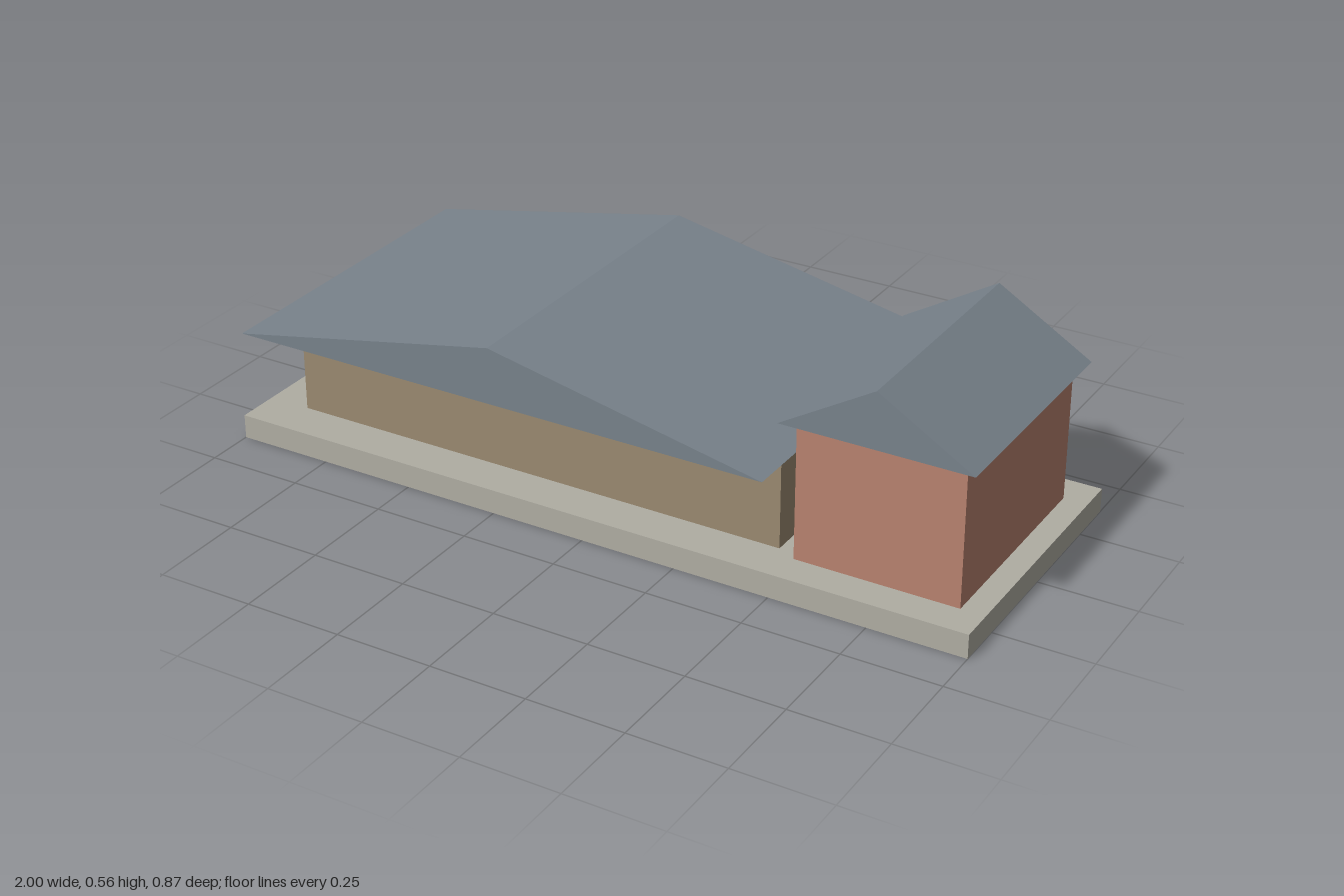
import * as THREE from 'three';

const material = (name, color) => {
  const m = new THREE.MeshStandardMaterial({ color });
  m.name = name;
  return m;
};

export function createModel() {
  const group = new THREE.Group();
  group.name = 'twoBuildings';

  const stone = material('paleStone', 0xb0ada3);
  const tan = material('tanWall', 0x9a8a70);
  const brick = material('brickWall', 0xb8826f);
  const slate = material('slateRoof', 0x78828b);

  const add = (name, geometry, mat) => {
    const mesh = new THREE.Mesh(geometry, mat);
    mesh.name = name;
    group.add(mesh);
    return mesh;
  };

  // Box between two heights, centred on z = 0
  const block = (name, x0, x1, y0, y1, depth, mat) =>
    add(name, new THREE.BoxGeometry(x1 - x0, y1 - y0, depth), mat)
      .position.set((x0 + x1) / 2, (y0 + y1) / 2, 0);

  // Solid gable roof with its ridge running along z
  const gable = (name, x0, x1, y0, y1, depth) => {
    const shape = new THREE.Shape();
    shape.moveTo(x0, y0);
    shape.lineTo(x1, y0);
    shape.lineTo((x0 + x1) / 2, y1);
    shape.closePath();
    const geometry = new THREE.ExtrudeGeometry(shape, { depth, bevelEnabled: false });
    geometry.translate(0, 0, -depth / 2);
    add(name, geometry, slate);
  };

  // Ground slab
  block('baseSlab', -1, 1, 0, 0.0625, 0.75, stone);

  // Long low hall
  block('hallWalls', -0.888, 0.468, 0.0625, 0.336, 0.525, tan);
  gable('hallRoof', -0.935, 0.513, 0.335, 0.48, 0.874);

  // Taller narrow annex
  block('annexWalls', 0.518, 0.938, 0.0625, 0.421, 0.575, brick);
  gable('annexRoof', 0.484, 0.97, 0.42, 0.565, 0.636);

  return group;
}
